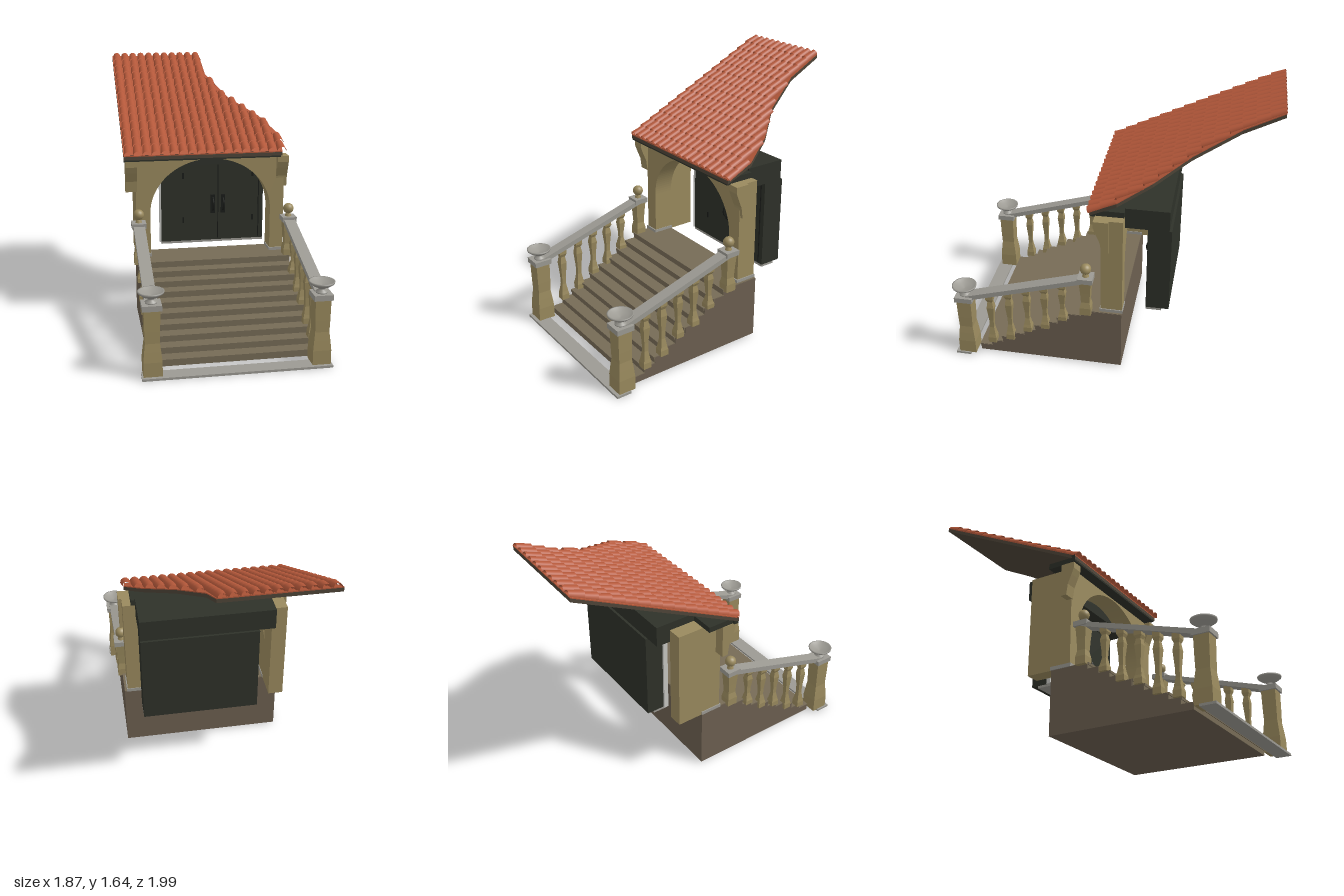
import * as THREE from 'three';
import { mergeGeometries } from 'three/addons/utils/BufferGeometryUtils.js';

const mat = (name, color, side = THREE.FrontSide) => {
  const m = new THREE.MeshStandardMaterial({ color, side });
  m.name = name;
  return m;
};

export function createModel() {
  const M = {
    tile: mat('terracotta', 0xb4583a, THREE.DoubleSide),
    tan: mat('sandstone', 0x9a8a5e),
    base: mat('brown stone', 0x6c5f50),
    step: mat('step stone', 0x766b56),
    grey: mat('grey stone', 0x9c9a93),
    dark: mat('dark green wood', 0x2e3129),
    iron: mat('black iron', 0x191b18),
    deck: mat('roof boarding', 0x4e4538),
    white: mat('pale frame', 0xc6c6c2),
  };
  const model = new THREE.Group();
  model.name = 'porch';
  const porch = new THREE.Group();
  porch.name = 'turnedPorch';
  porch.rotation.y = THREE.MathUtils.degToRad(27);
  model.add(porch);

  const add = (name, geo, m, x = 0, y = 0, z = 0) => {
    const mesh = new THREE.Mesh(geo, m);
    mesh.name = name;
    mesh.position.set(x, y, z);
    porch.add(mesh);
    return mesh;
  };
  // box given by its limits
  const box = (name, m, x0, x1, y0, y1, z0, z1) =>
    add(name, new THREE.BoxGeometry(x1 - x0, y1 - y0, z1 - z0), m,
      (x0 + x1) / 2, (y0 + y1) / 2, (z0 + z1) / 2);
  // side profile of [z, y] points extruded from x0 to x1
  const sideExtrude = (name, m, pts, x0, x1) => {
    const shape = new THREE.Shape(pts.map(p => new THREE.Vector2(...p)));
    const g = new THREE.ExtrudeGeometry(shape, { depth: x1 - x0, bevelEnabled: false });
    g.rotateY(-Math.PI / 2);
    return add(name, g, m, x1);
  };
  // square turned post from [halfWidth, y] points
  const squareTurned = pts => {
    let g = new THREE.LatheGeometry(pts.map(([r, y]) => new THREE.Vector2(r * Math.SQRT2, y)), 4);
    g.rotateY(Math.PI / 4);
    g = g.toNonIndexed();
    g.computeVertexNormals();
    return g;
  };

  const mid = 0.056, floor = 0.41, stepTop = 0.05, run = 0.073, rise = 0.04, steps = 10;
  const left = mid - 0.495, right = mid + 0.495;

  // Stair block with its landing
  const profile = [[-0.2, 0.01], [stepTop + run * (steps - 1), 0.01]];
  for (let i = steps - 1; i >= 0; i--) {
    const z = stepTop + run * i, y = floor - rise * i;
    profile.push([z, y - rise < 0.02 ? 0.01 : y - rise], [z, y]);
  }
  profile.push([-0.2, floor]);
  sideExtrude('stairBlock', M.base, profile.filter((p, i) => i !== 1), left, right);
  for (let i = 0; i < steps; i++) {
    const z = stepTop + run * i, y = floor - rise * i;
    box('tread', M.step, left + 0.002, right - 0.002, y - 0.012, y + 0.003, i ? z - run : -0.198, z + 0.008);
    box('riser', M.step, left + 0.002, right - 0.002, y - rise, y - 0.012, z - 0.005, z + 0.003);
  }
  box('footSlab', M.grey, mid - 0.55, mid + 0.55, 0, 0.014, 0.765, 0.86);

  // Balustrades
  const postZ = 0.785, ballZ = 0.018;
  const railY = z => 0.655 + (z - ballZ) * (0.425 - 0.655) / (postZ - ballZ);
  for (const s of [-1, 1]) {
    const x = mid + s * 0.487;
    add('frontPost', squareTurned([[0, 0.012], [0.054, 0.012], [0.054, 0.1], [0.048, 0.16],
      [0.042, 0.21], [0.044, 0.28], [0.046, 0.41], [0, 0.41]]), M.tan, x, 0, postZ);
    box('frontPostCap', M.grey, x - 0.056, x + 0.056, 0.405, 0.438, postZ - 0.056, postZ + 0.056);
    const bowl = [[0, 0.436], [0.034, 0.436], [0.034, 0.446], [0.018, 0.456], [0.02, 0.466], [0.05, 0.48],
      [0.074, 0.498], [0.076, 0.508], [0.068, 0.508], [0.045, 0.49], [0, 0.482]];
    add('bowl', new THREE.LatheGeometry(bowl.map(p => new THREE.Vector2(...p)), 24), M.grey, x, 0, postZ);

    add('ballPost', squareTurned([[0, 0.4], [0.034, 0.4], [0.034, 0.45], [0.026, 0.49],
      [0.03, 0.56], [0.036, 0.64], [0, 0.64]]), M.tan, x, 0, ballZ);
    box('ballPostCap', M.grey, x - 0.046, x + 0.046, 0.64, 0.672, ballZ - 0.046, ballZ + 0.046);
    add('ballNeck', new THREE.CylinderGeometry(0.015, 0.022, 0.02, 16), M.tan, x, 0.68, ballZ);
    add('ball', new THREE.SphereGeometry(0.034, 20, 14), M.tan, x, 0.722, ballZ);

    sideExtrude('handrail', M.grey, [[ballZ, railY(ballZ) - 0.018], [postZ, railY(postZ) - 0.018],
      [postZ, railY(postZ) + 0.014], [ballZ, railY(ballZ) + 0.014]], x - 0.036, x + 0.036);

    for (const z of [0.165, 0.277, 0.39, 0.505, 0.625]) {
      const y0 = floor - rise * Math.ceil((z - stepTop) / run), h = railY(z) - 0.01 - y0;
      add('baluster', squareTurned([[0, 0], [0.026, 0], [0.026, 0.1], [0.021, 0.16], [0.013, 0.3], [0.014, 0.45],
        [0.022, 0.72], [0.015, 0.84], [0.024, 0.9], [0.024, 1]].map(([r, t]) => [r, t * h])), M.tan, x, y0, z);
    }
  }

  // Arched front wall
  const wall = new THREE.Shape();
  const wl = mid - 0.495, wr = mid + 0.475, ac = 0.047, ar = 0.395, spring = 0.7, top = 1.06;
  wall.moveTo(wl, floor);
  wall.lineTo(ac - ar, floor);
  wall.lineTo(ac - ar, spring);
  wall.absellipse(ac, spring, ar, 0.35, Math.PI, 0, true);
  wall.lineTo(ac + ar, floor);
  wall.lineTo(wr, floor);
  wall.lineTo(wr, top);
  wall.lineTo(wl, top);
  add('archWall', new THREE.ExtrudeGeometry(wall, { depth: 0.13, bevelEnabled: false, curveSegments: 32 }),
    M.tan, 0, 0, -0.2);
  box('sideWall', M.tan, wl, ac - ar, floor, top, -0.37, -0.2);
  box('wallPlinth', M.grey, wl - 0.006, ac - ar + 0.004, floor, floor + 0.022, -0.204, -0.062);
  box('wallPlinth', M.grey, ac + ar - 0.004, wr + 0.006, floor, floor + 0.022, -0.204, -0.062);
  for (const [x, z] of [[-0.468, -0.105], [0.515, -0.118]]) {
    sideExtrude('corbel', M.tan, [[z, 0.85], [z + 0.04, 0.85], [z + 0.05, 0.92], [z + 0.075, 0.98],
      [z + 0.09, 1.02], [z + 0.09, top], [z, top]], x - 0.036, x + 0.036);
  }

  // Door unit with its header and threshold
  const dl = -0.25, dr = 0.455, dz = -0.335, dm = 0.14;
  box('doorUnit', M.dark, dl, dr, 0.42, 0.98, -0.475, dz);
  box('doorHeader', M.dark, ac - ar, dr, 0.98, 1.11, -0.46, -0.2);
  box('threshold', M.grey, dl, dr, 0.405, 0.42, -0.43, dz);
  box('doorFrameEdge', M.white, dl - 0.012, dl, 0.42, 0.97, -0.36, dz + 0.004);
  box('doorSeam', M.iron, dm - 0.003, dm + 0.003, 0.43, 0.96, dz, dz + 0.004);
  box('doorEdge', M.iron, dr - 0.035, dr - 0.029, 0.43, 0.96, dz, dz + 0.004);
  for (const s of [-1, 1]) {
    const x = dm + s * 0.035;
    box('handlePlate', M.iron, x - 0.014, x + 0.014, 0.61, 0.74, dz, dz + 0.006);
    const grip = new THREE.CatmullRomCurve3([[0.63, 0], [0.65, 0.03], [0.7, 0.03], [0.72, 0]]
      .map(([y, z]) => new THREE.Vector3(x, y, dz + z)));
    add('handleGrip', new THREE.TubeGeometry(grip, 10, 0.006, 6), M.iron);
    for (const y of [0.55, 0.86]) box('hinge', M.iron, dm + s * 0.24 - 0.006, dm + s * 0.24 + 0.006, y, y + 0.04, dz, dz + 0.008);
  }

  // Sloping roof with a cut-away right edge
  const slope = 0.495, eave = 1.092, backZ = -1.055;
  const edge = [[0.5, 0], [0.515, -0.16], [0.42, -0.35], [0.25, -0.55], [0.13, -0.82], [0.12, backZ]];
  const sheet = (name, m, lift, thick) => {
    const outline = [[-0.515, 0], ...edge, [-0.515, backZ]].map(([x, z]) => new THREE.Vector2(x, -z));
    const g = new THREE.ExtrudeGeometry(new THREE.Shape(outline), { depth: thick, bevelEnabled: false });
    g.rotateX(-Math.PI / 2);
    const p = g.attributes.position;
    for (let i = 0; i < p.count; i++) p.setY(i, p.getY(i) - slope * p.getZ(i));
    g.computeVertexNormals();
    add(name, g, m, 0, eave + lift, 0);
  };
  sheet('roofBoarding', M.deck, -0.022, 0.022);
  sheet('panTiles', M.tile, 0.0005, 0.006);
  box('eaveBoard', M.dark, -0.515, 0.49, 1.06, 1.1, -0.03, -0.002);
  box('eaveBeam', M.dark, -0.5, 0.48, 1.06, 1.095, -0.2, -0.03);

  // Overlapping barrel tiles in columns
  const limit = x => {
    for (let i = 1; i < edge.length - 1; i++) {
      const [x0, z0] = edge[i], [x1, z1] = edge[i + 1];
      if (x <= x0 && x >= x1) return i === edge.length - 2 ? backZ : z0 + (z1 - z0) * (x0 - x) / (x0 - x1);
    }
    return x < 0.12 ? backZ : -0.16;
  };
  const rowLen = -backZ / 14, pitch = 0.0575, tilt = Math.atan(slope), tiles = [];
  for (let c = 0; c < 18; c++) {
    const x = -0.483 + c * pitch;
    const rows = Math.max(2, Math.round(-limit(x + 0.01) / rowLen));
    for (let r = 0; r < rows; r++) {
      const z = -(r + 0.5) * rowLen;
      const g = new THREE.CylinderGeometry(0.023, 0.03, rowLen / Math.cos(tilt) + 0.008, 8, 1, true, -Math.PI / 2, Math.PI);
      g.rotateX(-Math.PI / 2);
      g.rotateX(tilt - 0.05);
      g.translate(x, eave + 0.008 - slope * z, z);
      tiles.push(g);
    }
  }
  add('barrelTiles', mergeGeometries(tiles), M.tile);

  return model;
}
